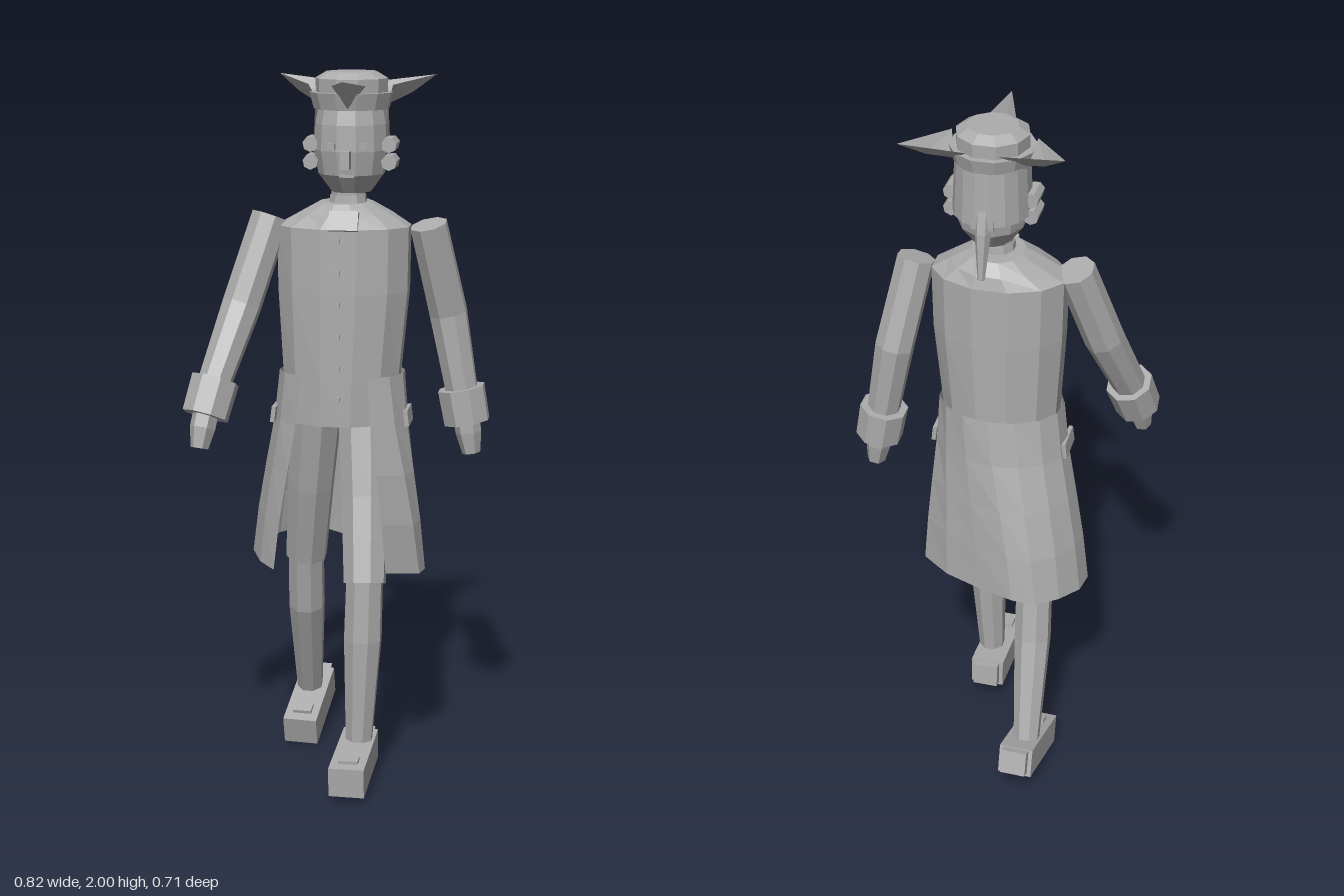
import * as THREE from 'three';

const V = (x, y, z) => new THREE.Vector3(x, y, z);

export function createModel() {
  const model = new THREE.Group();
  const stone = new THREE.MeshStandardMaterial({ color: 0xacacac, flatShading: true, side: THREE.DoubleSide });
  stone.name = 'plain grey';

  const add = (name, geometry, pos = [0, 0, 0], rot = [0, 0, 0], parent = model) => {
    const m = new THREE.Mesh(geometry, stone);
    m.name = name;
    m.position.set(...pos);
    m.rotation.set(...rot);
    parent.add(m);
    return m;
  };
  const box = (name, size, pos, rot, parent) => add(name, new THREE.BoxGeometry(...size), pos, rot, parent);

  // Surface through rings listed from top to bottom, each anticlockwise seen from above
  function loft(rings, closed = true) {
    const p = [];
    const tri = (...vs) => vs.forEach(v => p.push(v.x, v.y, v.z));
    const n = rings[0].length;
    for (let i = 0; i < rings.length - 1; i++) {
      for (let j = 0; j < (closed ? n : n - 1); j++) {
        const k = (j + 1) % n, a = rings[i], b = rings[i + 1];
        tri(a[j], b[j], b[k]);
        tri(a[j], b[k], a[k]);
      }
    }
    if (closed) {
      const top = rings[0], end = rings[rings.length - 1];
      for (let j = 1; j < n - 1; j++) {
        tri(top[0], top[j], top[j + 1]);
        tri(end[0], end[j + 1], end[j]);
      }
    }
    const g = new THREE.BufferGeometry();
    g.setAttribute('position', new THREE.Float32BufferAttribute(p, 3));
    g.computeVertexNormals();
    return g;
  }

  // Level elliptical ring
  const ring = (x, y, z, rx, rz, n = 12) => Array.from({ length: n }, (_, i) => {
    const a = (i + 0.5) / n * Math.PI * 2;
    return V(x + rx * Math.sin(a), y, z + rz * Math.cos(a));
  });

  // Tapered limb with rings square to its path; each point is [x, y, z, radius]
  function limb(name, pts, n = 8) {
    const c = pts.map(p => V(p[0], p[1], p[2]));
    const rings = pts.map((p, i) => {
      const dir = c[Math.max(i - 1, 0)].clone().sub(c[Math.min(i + 1, c.length - 1)]).normalize();
      const q = new THREE.Quaternion().setFromUnitVectors(V(0, 1, 0), dir);
      return ring(0, 0, 0, p[3], p[3], n).map(v => v.applyQuaternion(q).add(c[i]));
    });
    return add(name, loft(rings));
  }

  // Coat body and collar
  add('coatBody', loft([
    ring(0.005, 1.645, 0.015, 0.075, 0.085), ring(0.005, 1.615, 0.015, 0.13, 0.115),
    ring(0, 1.58, 0.017, 0.19, 0.127), ring(0, 1.4, 0.017, 0.187, 0.13),
    ring(-0.005, 1.16, 0.017, 0.168, 0.128), ring(-0.01, 1.03, 0.017, 0.165, 0.125),
  ]));
  for (let i = 0; i < 6; i++) box('button', [0.014, 0.014, 0.012], [-0.002, 1.55 - i * 0.088, 0.144]);
  box('cravat', [0.08, 0.055, 0.03], [0.015, 1.6, 0.125], [-0.4, 0, 0]);

  // Open skirt of the coat, from the left front edge round the back to the right
  const hem = [
    [0.15, 0.65, 0.255], [0.23, 0.615, 0.13], [0.237, 0.605, 0.05], [0.215, 0.605, -0.04],
    [0.13, 0.61, -0.11], [0.02, 0.62, -0.165], [-0.09, 0.635, -0.215], [-0.16, 0.635, -0.22],
    [-0.22, 0.63, -0.17], [-0.265, 0.62, -0.1], [-0.275, 0.615, -0.03], [-0.24, 0.605, 0.05],
    [-0.19, 0.6, 0.11],
  ].map(p => V(...p));
  const waist = hem.map((_, i) => {
    const a = 0.5 + i / (hem.length - 1) * (Math.PI * 2 - 1.1);
    return V(-0.005 + 0.178 * Math.sin(a), 1.17, 0.017 + 0.136 * Math.cos(a));
  });
  const skirt = [[0, 0], [0.25, 0.19], [0.5, 0.5], [0.75, 0.79], [1, 1]].map(([ty, tr]) => waist.map((w, i) => {
    const v = w.clone().lerp(hem[i], tr);
    v.y = THREE.MathUtils.lerp(w.y, hem[i].y, ty);
    return v;
  }));
  add('coatSkirt', loft(skirt, false));
  for (const s of [1, -1]) box('pocketFlap', [0.012, 0.045, 0.1], [s * 0.189 - 0.007, 1.045, 0.02], [0, 0, s * 0.12]);

  // Arms with turned-back cuffs and hands
  limb('rightSleeve', [[-0.205, 1.6, 0.025, 0.055], [-0.277, 1.36, 0.09, 0.056], [-0.342, 1.14, 0.195, 0.047]]);
  limb('rightCuff', [[-0.335, 1.165, 0.183, 0.068], [-0.357, 1.07, 0.222, 0.066]]);
  limb('rightHand', [[-0.352, 1.1, 0.215, 0.036], [-0.362, 1.04, 0.235, 0.036], [-0.369, 0.985, 0.25, 0.025]], 6);
  limb('leftSleeve', [[0.235, 1.585, 0.02, 0.053], [0.287, 1.33, -0.038, 0.055], [0.328, 1.11, -0.033, 0.047]]);
  limb('leftCuff', [[0.326, 1.118, -0.034, 0.069], [0.344, 1.02, -0.033, 0.067]]);
  limb('leftHand', [[0.339, 1.05, -0.033, 0.037], [0.348, 0.99, -0.033, 0.037], [0.357, 0.93, -0.032, 0.026]], 6);

  // Breeches and stockings
  limb('leftBreeches', [[0.055, 1.1, 0.02, 0.075], [0.07, 0.82, 0.09, 0.068], [0.08, 0.59, 0.165, 0.061]]);
  limb('rightBreeches', [[-0.075, 1.1, 0.015, 0.075], [-0.105, 0.82, -0.035, 0.068], [-0.128, 0.59, -0.088, 0.061]]);
  limb('leftStocking', [[0.08, 0.62, 0.165, 0.053], [0.076, 0.43, 0.172, 0.055], [0.066, 0.13, 0.175, 0.039]]);
  limb('rightStocking', [[-0.128, 0.62, -0.082, 0.053], [-0.132, 0.43, -0.118, 0.054], [-0.142, 0.135, -0.228, 0.039]]);

  // Shoes
  function shoe(name, pos, rot) {
    const g = new THREE.Group();
    g.name = name;
    g.position.set(...pos);
    g.rotation.set(...rot);
    model.add(g);
    box('shoeBody', [0.1, 0.085, 0.265], [0, 0, 0.01], undefined, g);
    box('shoeHeel', [0.076, 0.072, 0.03], [0, 0.004, -0.133], undefined, g);
    box('buckle', [0.055, 0.014, 0.04], [0, 0.045, 0.09], undefined, g);
    return g;
  }
  shoe('leftShoe', [0.057, 0.074, 0.207], [0.07, -0.02, 0]);
  shoe('rightShoe', [-0.138, 0.083, -0.207], [0.3, -0.06, 0]);

  // Neck and head
  add('neck', new THREE.CylinderGeometry(0.045, 0.048, 0.1, 10), [0.012, 1.67, 0.025]);
  add('neckBand', new THREE.CylinderGeometry(0.05, 0.055, 0.035, 10), [0.012, 1.648, 0.025]);
  const hx = 0.022, hz = 0.025;
  add('head', loft([[1.915, 0.09, 0.1], [1.86, 0.1, 0.112], [1.79, 0.103, 0.114], [1.725, 0.092, 0.103], [1.675, 0.055, 0.065]]
    .map(([y, rx, rz]) => ring(hx, y, hz, rx, rz))));
  for (const s of [1, -1]) box('eye', [0.022, 0.016, 0.014], [hx + s * 0.04, 1.805, 0.13], [0, s * 0.3, 0]);
  box('nose', [0.026, 0.048, 0.035], [hx, 1.77, 0.147]);
  box('mouth', [0.04, 0.008, 0.01], [hx, 1.725, 0.122]);

  // Hair at the back, side curls and tied queue
  const hair = new THREE.CylinderGeometry(0.1, 0.107, 0.15, 9, 1, true, Math.PI * 0.45, Math.PI * 1.1);
  hair.scale(1, 1, 1.12);
  add('hair', hair, [hx, 1.835, hz]);
  for (const s of [1, -1]) for (const y of [1.805, 1.757]) {
    add('sideCurl', new THREE.CylinderGeometry(0.022, 0.022, 0.075, 7), [hx + s * 0.108, y, 0.035], [Math.PI / 2, 0, 0]);
  }
  limb('queue', [[hx, 1.82, -0.068, 0.022], [hx, 1.74, -0.085, 0.022], [hx, 1.61, -0.103, 0.01]], 6);
  box('queueRibbon', [0.06, 0.025, 0.025], [hx, 1.765, -0.08]);

  // Hat crown and low turned-up brim
  add('hatCrown', loft([[2, 0.07], [1.982, 0.1], [1.9, 0.098]].map(([y, r]) => ring(hx, y, 0.028, r, r, 10))));
  add('hatBrim', loft([[1.945, 0.116], [1.9, 0.104]].map(([y, r]) => ring(hx, y, 0.028, r, r, 12))));

  // Three folded points: two upright wings meeting along a keel
  function hatPoint(name, tip, keel, a, b) {
    const q = tip.clone().lerp(keel, 0.5);
    q.y -= 0.008;
    add(name, loft([[a, tip, b], [a, q, b], [a, keel, b]], false));
  }
  hatPoint('frontHatPoint', V(0.03, 1.985, 0.265), V(0.026, 1.905, 0.135), V(-0.02, 1.965, 0.118), V(0.072, 1.965, 0.118));
  hatPoint('rightHatPoint', V(-0.2, 1.985, -0.105), V(-0.075, 1.91, -0.01), V(-0.02, 1.965, -0.085), V(-0.095, 1.965, 0.045));
  hatPoint('leftHatPoint', V(0.24, 1.985, -0.115), V(0.118, 1.91, -0.01), V(0.137, 1.965, 0.045), V(0.065, 1.965, -0.085));

  return model;
}
